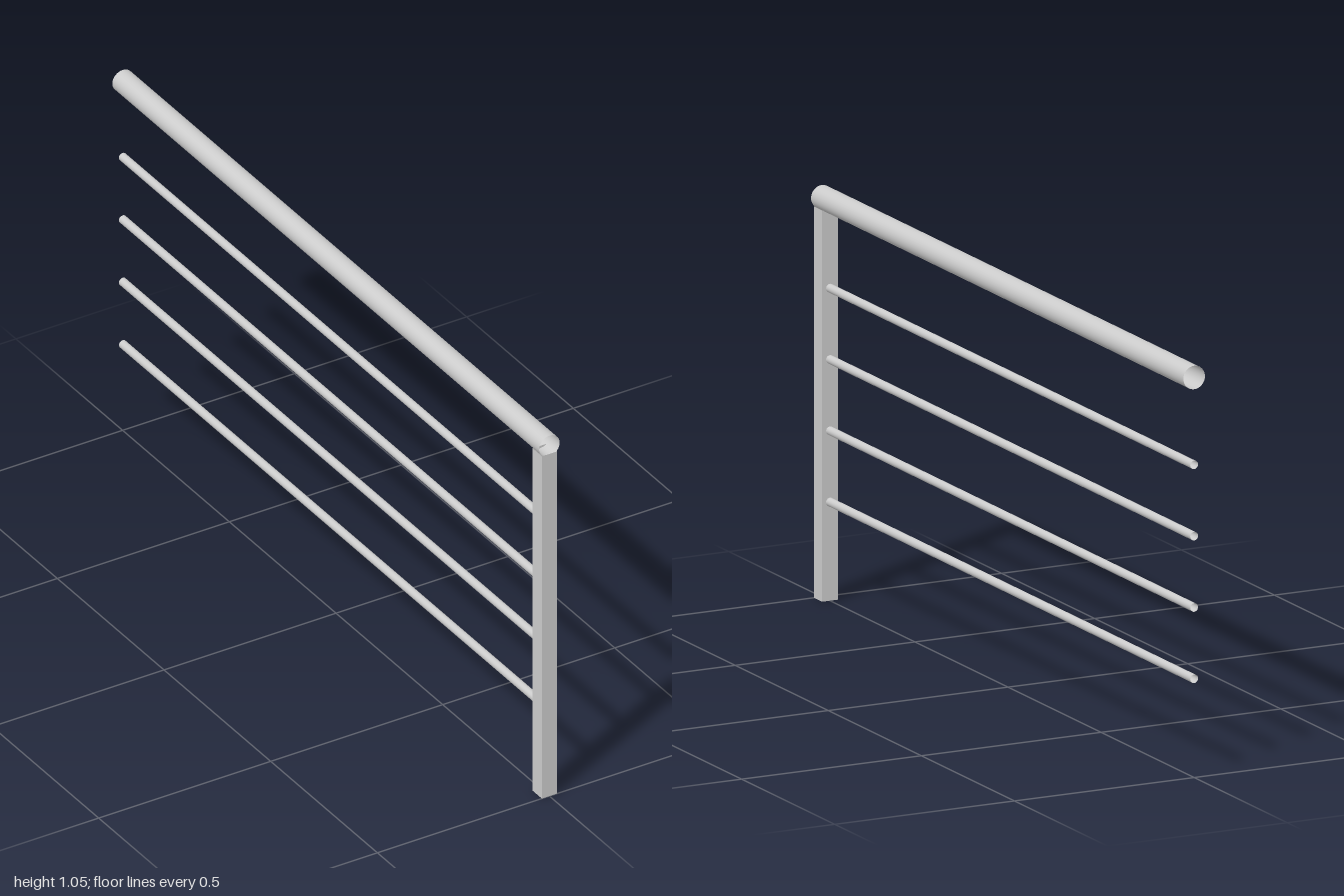
import * as THREE from 'three';

export function createModel() {
  const model = new THREE.Group();
  model.name = 'railing';
  const smooth = new THREE.MeshStandardMaterial({ color: 0xcccccc, side: THREE.DoubleSide });
  const flat = new THREE.MeshStandardMaterial({ color: 0xcccccc, side: THREE.DoubleSide, flatShading: true });

  // Open-ended tube running along z
  function tube(name, radius, y, zBack, zFront, sides) {
    const geometry = new THREE.CylinderGeometry(radius, radius, zFront - zBack, sides, 1, true);
    geometry.rotateX(Math.PI / 2);
    const mesh = new THREE.Mesh(geometry, smooth);
    mesh.name = name;
    mesh.position.set(0, y, (zBack + zFront) / 2);
    model.add(mesh);
  }

  // Square hollow post, open at top and bottom
  const width = 0.044;
  const postGeometry = new THREE.CylinderGeometry(width / Math.SQRT2, width / Math.SQRT2, 0.998, 4, 1, true);
  postGeometry.rotateY(Math.PI / 4);
  const post = new THREE.Mesh(postGeometry, flat);
  post.name = 'post';
  post.position.set(0, 0.499, 1 - width / 2);
  model.add(post);

  // Handrail on top of the post
  tube('handrail', 0.03, 1.021, -1, 1, 32);

  // Four evenly spaced bars starting at the back face of the post
  for (let i = 0; i < 4; i++) {
    tube('bar' + (i + 1), 0.011, 0.252 + i * 0.182, -1, 1 - width, 20);
  }

  return model;
}
